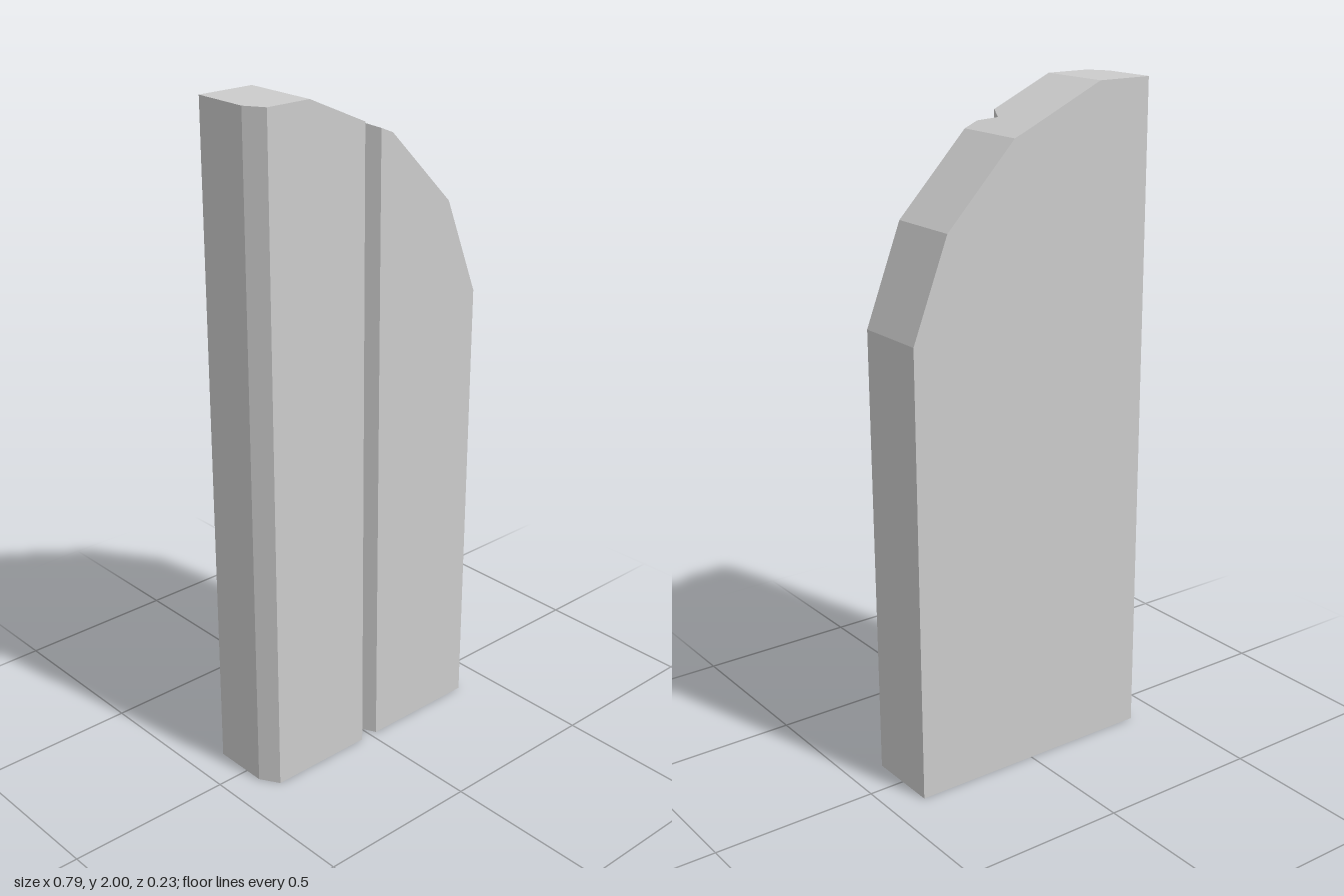
import * as THREE from 'three';

const BACK = -0.114, FRONT = 0.114, GROOVE = 0.057;

// Stations across the width: [x, front z, top y, x at the foot]
const STATIONS = [
  [-0.398, GROOVE, 2],      // chamfered straight edge
  [-0.364, FRONT, 2],
  [-0.225, FRONT, 2],       // rounded shoulder starts
  [-0.035, FRONT, 1.914],   // V groove
  [-0.006, GROOVE, 1.901],
  [0.023, FRONT, 1.888],
  [0.065, FRONT, 1.87],
  [0.284, FRONT, 1.643],
  [0.396, FRONT, 1.355, 0.39],
];

// Joins four-cornered sections into a closed, flat-faced solid
function loft(sections) {
  const pos = [];
  const quad = (a, b, c, d) => [a, b, c, a, c, d].forEach((p) => pos.push(...p));
  for (let i = 0; i < sections.length - 1; i++) {
    const a = sections[i], b = sections[i + 1];
    for (let j = 0; j < 4; j++) {
      const k = (j + 1) % 4;
      quad(a[j], a[k], b[k], b[j]);
    }
  }
  const first = sections[0], last = sections[sections.length - 1];
  quad(first[3], first[2], first[1], first[0]);
  quad(last[0], last[1], last[2], last[3]);
  const geo = new THREE.BufferGeometry();
  geo.setAttribute('position', new THREE.Float32BufferAttribute(pos, 3));
  geo.computeVertexNormals();
  return geo;
}

export function createModel() {
  const group = new THREE.Group();
  group.name = 'groovedPlank';

  const sections = STATIONS.map(([x, front, top, foot = x]) => [
    [foot, 0, front], [foot, 0, BACK], [x, top, BACK], [x, top, front],
  ]);
  const plank = new THREE.Mesh(
    loft(sections),
    new THREE.MeshStandardMaterial({ color: 0xcccccc, flatShading: true }),
  );
  plank.name = 'plank';
  group.add(plank);
  return group;
}
